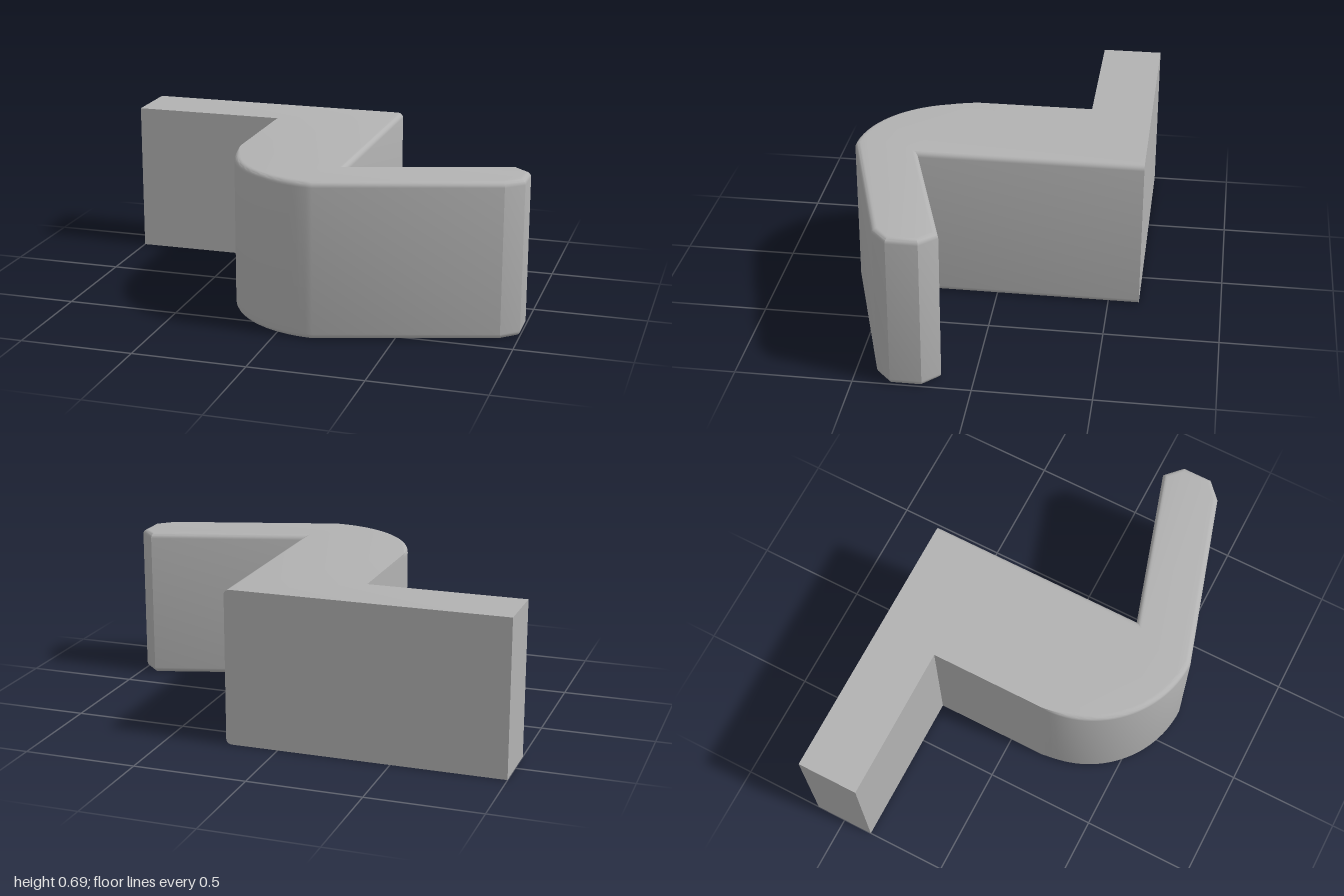
import * as THREE from 'three';
import { toCreasedNormals } from 'three/addons/utils/BufferGeometryUtils.js';

const HEIGHT = 0.69, ROUND = 0.024, STEPS = 5;

// Plan outline as { x, z, w }, where w is how strongly the top and bottom edge is rounded
function outline() {
  const pts = [];
  const add = (x, z, w = 1) => pts.push({ x, z, w });
  // mounting plate and inner side of the hook
  add(-1, -0.637, 0);
  add(0.235, -0.637);
  add(0.235, 0.345);
  // chamfered tip
  add(0.927, 0.137);
  add(1, 0.207);
  add(1, 0.34);
  add(0.927, 0.408);
  // rounded outer bend, with the edge rounding fading out along the stem
  const n = 28, r = 0.475;
  for (let i = 0; i <= n; i++) {
    const a = Math.PI / 2 * (1 + i / n);
    add(0.168 + r * Math.cos(a), 0.162 + r * Math.sin(a), Math.min(1, (n - i) / 5));
  }
  // stem and plate front
  add(-0.307, -0.363, 0);
  add(-1, -0.363, 0);

  // inward mitre direction at each corner
  const inward = (p, q) => new THREE.Vector2(p.z - q.z, q.x - p.x).normalize();
  pts.forEach((p, i) => {
    const a = inward(pts.at(i - 1), p);
    const b = inward(p, pts[(i + 1) % pts.length]);
    p.inset = a.clone().add(b).multiplyScalar(p.w / (1 + a.dot(b)));
  });
  pts[1].inset.set(-1, 0); // rounding runs straight out through the flat back
  return pts;
}

function hookGeometry() {
  const pts = outline(), n = pts.length;
  const pos = [], index = [];

  // section rings from the bottom edge to the top edge
  const levels = [];
  for (let s = 0; s <= STEPS; s++) {
    const a = Math.PI / 2 * (1 - s / STEPS);
    levels.push([ROUND * (1 - Math.sin(a)), ROUND * (1 - Math.cos(a - Math.PI / 2 + Math.PI / 2))]);
  }
  for (const [y, d] of [...levels].reverse()) levels.push([HEIGHT - y, d]);
  for (const [y, d] of levels) {
    for (const p of pts) {
      // where the edge is sharp, only the height changes
      pos.push(p.x + p.inset.x * d, y, p.z + p.inset.y * d);
    }
  }

  // walls
  for (let k = 0; k < levels.length - 1; k++) {
    for (let i = 0; i < n; i++) {
      const j = (i + 1) % n;
      const a = k * n + i, b = k * n + j, c = b + n, d = a + n;
      index.push(a, d, c, a, c, b);
    }
  }

  // bottom and top
  const ring = pts.map(p => new THREE.Vector2(p.x + p.inset.x * ROUND, p.z + p.inset.y * ROUND));
  const top = (levels.length - 1) * n;
  for (const [a, b, c] of THREE.ShapeUtils.triangulateShape(ring, [])) {
    index.push(a, b, c, top + a, top + c, top + b);
  }

  const geometry = new THREE.BufferGeometry();
  geometry.setAttribute('position', new THREE.Float32BufferAttribute(pos, 3));
  geometry.setIndex(index);
  return toCreasedNormals(geometry, 0.45);
}

export function createModel() {
  const grey = new THREE.MeshStandardMaterial({ color: 0xb2b2b2 });
  grey.name = 'plain grey';

  const hook = new THREE.Mesh(hookGeometry(), grey);
  hook.name = 'hookBody';

  const model = new THREE.Group();
  model.name = 'wallHook';
  model.add(hook);
  return model;
}
